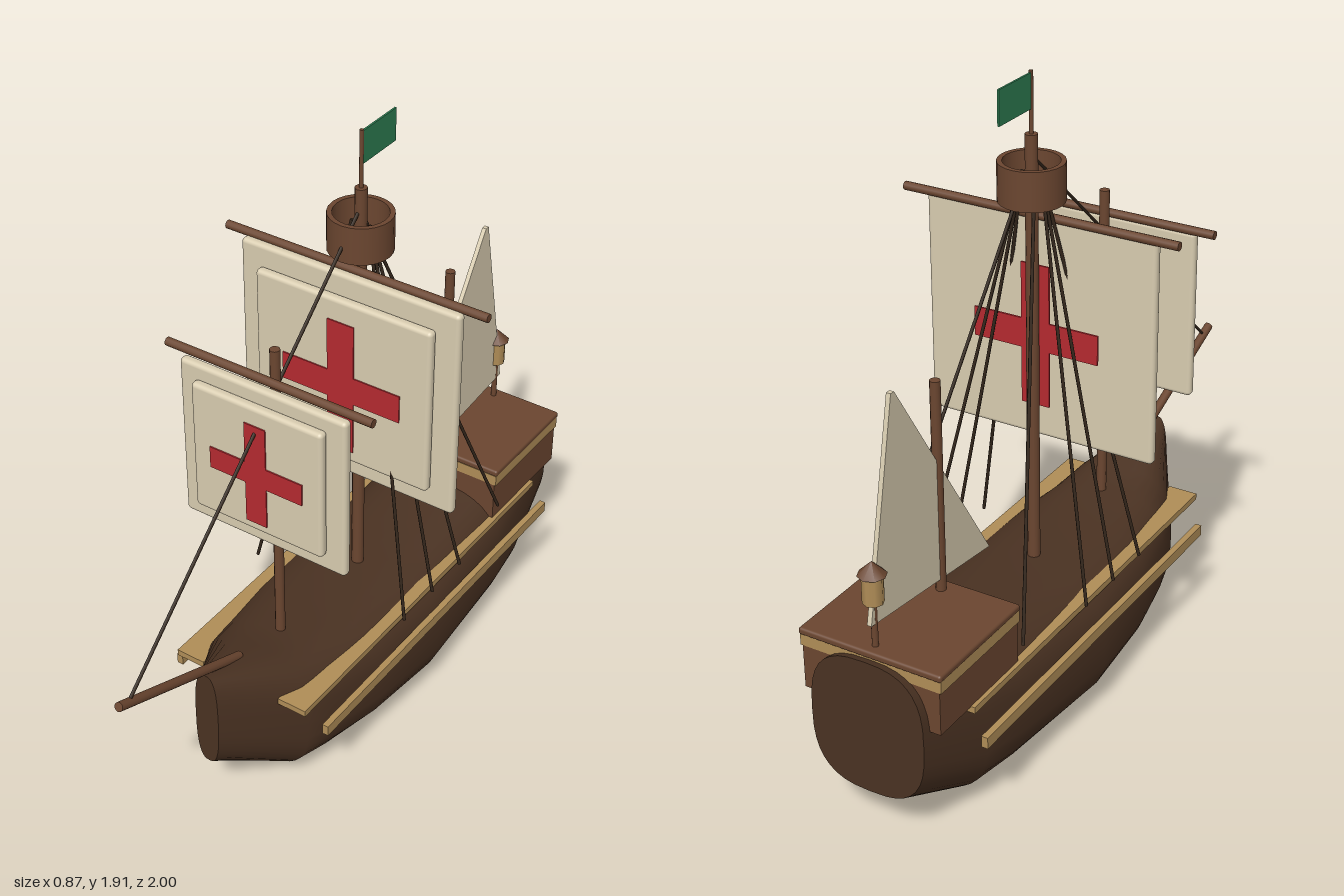
import * as THREE from 'three';
import { RoundedBoxGeometry } from 'three/addons/geometries/RoundedBoxGeometry.js';

const paint = (name, color) => {
  const m = new THREE.MeshStandardMaterial({ color });
  m.name = name;
  return m;
};

export function createModel() {
  const ship = new THREE.Group();
  ship.name = 'sailingShip';

  const hullWood = paint('dark hull wood', 0x4a3222);
  const wood = paint('brown wood', 0x6b4630);
  const tan = paint('tan trim', 0xb08d57);
  const canvas = paint('sail canvas', 0xd8ccb0);
  const red = paint('red cross', 0xb52a30);
  const green = paint('green flag', 0x2e7d52);
  const rope = paint('dark rope', 0x33261b);

  const add = (name, geometry, material, x = 0, y = 0, z = 0, parent = ship) => {
    const mesh = new THREE.Mesh(geometry, material);
    mesh.name = name;
    mesh.position.set(x, y, z);
    parent.add(mesh);
    return mesh;
  };
  const box = (name, material, w, h, d, x, y, z, parent) =>
    add(name, new THREE.BoxGeometry(w, h, d), material, x, y, z, parent);
  // Round bar between two points
  const rod = (name, material, from, to, r0, r1 = r0, sides = 12) => {
    const a = new THREE.Vector3(...from), b = new THREE.Vector3(...to);
    const mesh = add(name, new THREE.CylinderGeometry(r1, r0, a.distanceTo(b), sides), material);
    mesh.position.copy(a).add(b).multiplyScalar(0.5);
    mesh.quaternion.setFromUnitVectors(new THREE.Vector3(0, 1, 0), b.sub(a).normalize());
    return mesh;
  };

  // Hull: rounded closed sections from bow to stern [z, bottom, top, half width]
  const stations = [
    [0.63, 0.21, 0.545, 0.04],
    [0.39, 0.045, 0.483, 0.185],
    [0.29, 0.038, 0.457, 0.212],
    [0.1, 0.026, 0.445, 0.25],
    [-0.19, 0.01, 0.435, 0.27],
    [-0.6, 0.028, 0.465, 0.245],
    [-0.76, 0.035, 0.507, 0.225],
    [-1.0, 0.15, 0.57, 0.18],
  ];
  const sides = 36;
  const section = ([, bottom, top, half]) => {
    const points = [];
    for (let j = 0; j < sides; j++) {
      const t = (j / sides) * Math.PI * 2;
      const bulge = (v) => Math.sign(v) * Math.abs(v) ** (2 / 2.8);
      points.push(new THREE.Vector2(
        half * bulge(Math.cos(t)),
        (top + bottom) / 2 + ((top - bottom) / 2) * bulge(Math.sin(t))));
    }
    return points;
  };
  const positions = [], index = [];
  stations.forEach((s, i) => {
    section(s).forEach((p, j) => {
      positions.push(p.x, p.y, s[0]);
      if (i === stations.length - 1) return;
      const a = i * sides + j, b = i * sides + ((j + 1) % sides);
      index.push(a, a + sides, b, b, a + sides, b + sides);
    });
  });
  const hull = new THREE.BufferGeometry();
  hull.setAttribute('position', new THREE.Float32BufferAttribute(positions, 3));
  hull.setIndex(index);
  hull.computeVertexNormals();
  add('hull', hull, hullWood);
  const endCap = (s) => new THREE.ShapeGeometry(new THREE.Shape(section(s)));
  add('stem', endCap(stations[0]), hullWood, 0, 0, 0.63);
  add('transom', endCap(stations[7]).rotateY(Math.PI), hullWood, 0, 0, -1);

  // Side planks
  for (const side of [-1, 1]) {
    box('upperPlank', tan, 0.095, 0.02, 1.3, side * 0.1825, 0.392, -0.18);
    box('lowerPlank', tan, 0.02, 0.035, 1.26, side * 0.265, 0.308, -0.21);
  }

  // Stern castle
  box('sternCastle', wood, 0.435, 0.15, 0.385, 0, 0.475, -0.782);
  box('castleTrim', tan, 0.447, 0.036, 0.388, 0, 0.552, -0.782);
  add('castleRoof', new RoundedBoxGeometry(0.452, 0.022, 0.394, 3, 0.008), wood, 0, 0.579, -0.784);

  // Stern lantern
  rod('lanternPost', wood, [0, 0.58, -0.945], [0, 0.73, -0.945], 0.009);
  rod('lanternBody', tan, [0, 0.725, -0.945], [0, 0.81, -0.945], 0.03, 0.03, 8);
  add('lanternRoof', new THREE.ConeGeometry(0.041, 0.04, 8), wood, 0, 0.829, -0.945);

  // Masts and bowsprit
  rod('mainMast', wood, [0, 0.4, -0.14], [0, 1.75, -0.14], 0.019, 0.018);
  rod('foreMast', wood, [0, 0.4, 0.268], [0, 1.45, 0.268], 0.015);
  rod('mizzenMast', wood, [0, 0.5, -0.632], [0, 1.23, -0.632], 0.015);
  rod('flagPole', wood, [0, 1.74, -0.14], [0, 1.925, -0.14], 0.006);
  rod('bowsprit', wood, [0, 0.5, 0.47], [0, 0.716, 0.994], 0.014);
  box('flag', green, 0.006, 0.1, 0.16, 0, 1.87, -0.225);

  // Crow's nest: open tub
  const tub = [[0, 0], [0.095, 0], [0.095, 0], [0.095, 0.115], [0.095, 0.115],
    [0.08, 0.115], [0.08, 0.115], [0.08, 0.02], [0.08, 0.02], [0, 0.02]];
  add('crowsNest', new THREE.LatheGeometry(tub.map((p) => new THREE.Vector2(...p)), 24),
    wood, 0, 1.56, -0.14);

  // Square sails: two layered panels with a cross on both faces, hung from a yard
  const squareSail = (name, o) => {
    const g = new THREE.Group();
    g.name = name;
    ship.add(g);
    const panel = (part, half, low, high, z) => add(part,
      new RoundedBoxGeometry(half * 2, high - low, 0.032, 3, 0.013), canvas, 0, (low + high) / 2, z, g);
    panel('outerPanel', ...o.outer);
    panel('raisedPanel', ...o.inner);
    const arm = o.bar / 2, { halfW, halfH } = o;
    const cross = new THREE.Shape([
      [-arm, -halfH], [arm, -halfH], [arm, -arm], [halfW, -arm], [halfW, arm], [arm, arm],
      [arm, halfH], [-arm, halfH], [-arm, arm], [-halfW, arm], [-halfW, -arm], [-arm, -arm],
    ].map((p) => new THREE.Vector2(...p)));
    const plate = new THREE.ExtrudeGeometry(cross, { depth: 0.006, bevelEnabled: false });
    add('frontCross', plate, red, 0, o.crossY, o.inner[3] + 0.014, g);
    add('backCross', plate, red, 0, o.crossY, o.backZ, g);
    rod(name + 'Yard', wood, [-o.yard, o.yardY, o.yardZ], [o.yard, o.yardY, o.yardZ], 0.013);
  };
  squareSail('mainSail', {
    outer: [0.365, 0.82, 1.5, -0.09], inner: [0.295, 0.89, 1.435, -0.06],
    bar: 0.09, halfW: 0.2, halfH: 0.217, crossY: 1.147, backZ: -0.127,
    yard: 0.435, yardY: 1.505, yardZ: -0.108,
  });
  squareSail('foreSail', {
    outer: [0.275, 0.83, 1.355, 0.321], inner: [0.217, 0.89, 1.312, 0.35],
    bar: 0.07, halfW: 0.155, halfH: 0.167, crossY: 1.088, backZ: 0.286,
    yard: 0.34, yardY: 1.366, yardZ: 0.303,
  });

  // Triangular mizzen sail
  const triangle = new THREE.Shape([[-0.395, 0.602], [-0.825, 1.285], [-0.84, 1.285], [-0.968, 0.663]]
    .map((p) => new THREE.Vector2(...p)));
  add('mizzenSail', new THREE.ExtrudeGeometry(triangle, { depth: 0.014, bevelEnabled: false })
    .translate(0, 0, -0.007).rotateY(-Math.PI / 2), canvas);

  // Rigging
  rod('forestay', rope, [0, 1.69, -0.14], [0, 0.71, 0.945], 0.005, 0.005, 6);
  for (const side of [-1, 1]) {
    for (const z of [0.012, -0.145, -0.302])
      rod('shroud', rope, [side * 0.03, 1.64, -0.14], [side * 0.27, 0.435, z], 0.005, 0.005, 6);
    rod('backstay', rope, [side * 0.01, 1.66, -0.14], [side * 0.235, 0.46, -0.59], 0.005, 0.005, 6);
  }

  return ship;
}
